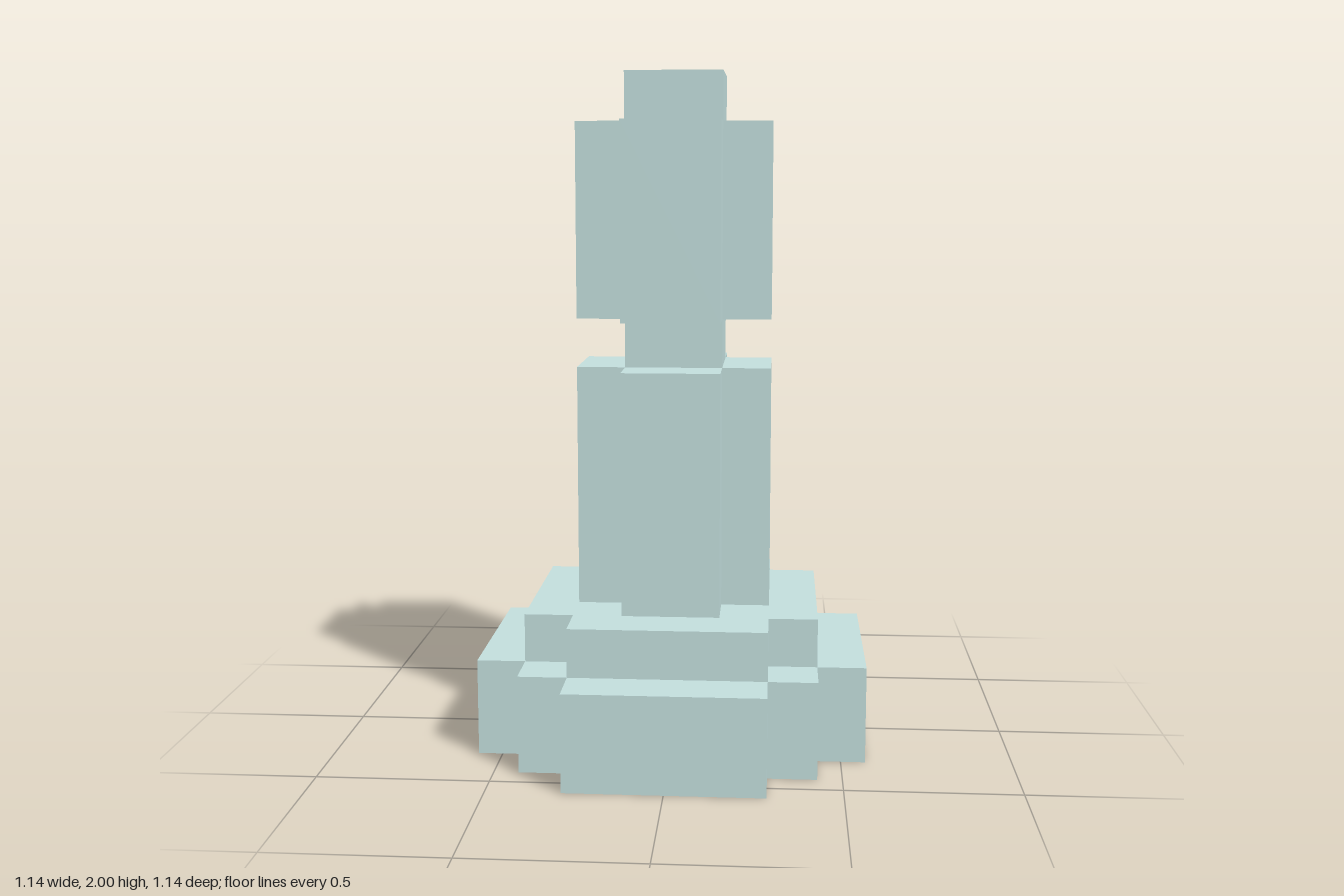
import * as THREE from 'three';

const U = 1 / 7; // one block; the tower is 14 blocks tall

// Repeat one corner's steps around four quarter turns to get a full outline.
function steppedOutline(corner) {
  const points = [];
  let quarter = corner;
  for (let i = 0; i < 4; i++) {
    points.push(...quarter.map(([x, y]) => new THREE.Vector2(x * U, y * U)));
    quarter = quarter.map(([x, y]) => [-y, x]);
  }
  return new THREE.Shape(points);
}

export function createModel() {
  const model = new THREE.Group();
  model.name = 'blockTower';
  const material = new THREE.MeshStandardMaterial({ color: 0xc2dedc, flatShading: true });

  // Corner outlines, in blocks
  const wideBase = [[4, 2], [3, 2], [3, 3], [2, 3], [2, 4]];
  const wideCross = [[3, 2], [2, 2], [2, 3]];
  const slimCross = [[2, 1], [1, 1], [1, 2]];
  const square = [[1, 1]];

  // Tiers from the ground up: name, corner, bottom and top in blocks
  const tiers = [
    ['base', wideBase, 0, 2],
    ['plinth', wideCross, 2, 3],
    ['shaft', slimCross, 3, 8],
    ['neck', square, 8, 9],
    ['head', slimCross, 9, 13],
    ['cap', square, 13, 14],
  ];
  for (const [name, corner, bottom, top] of tiers) {
    const geometry = new THREE.ExtrudeGeometry(steppedOutline(corner), {
      depth: (top - bottom) * U,
      bevelEnabled: false,
    });
    geometry.rotateX(-Math.PI / 2);
    const mesh = new THREE.Mesh(geometry, material);
    mesh.name = name;
    mesh.position.y = bottom * U;
    model.add(mesh);
  }
  return model;
}
